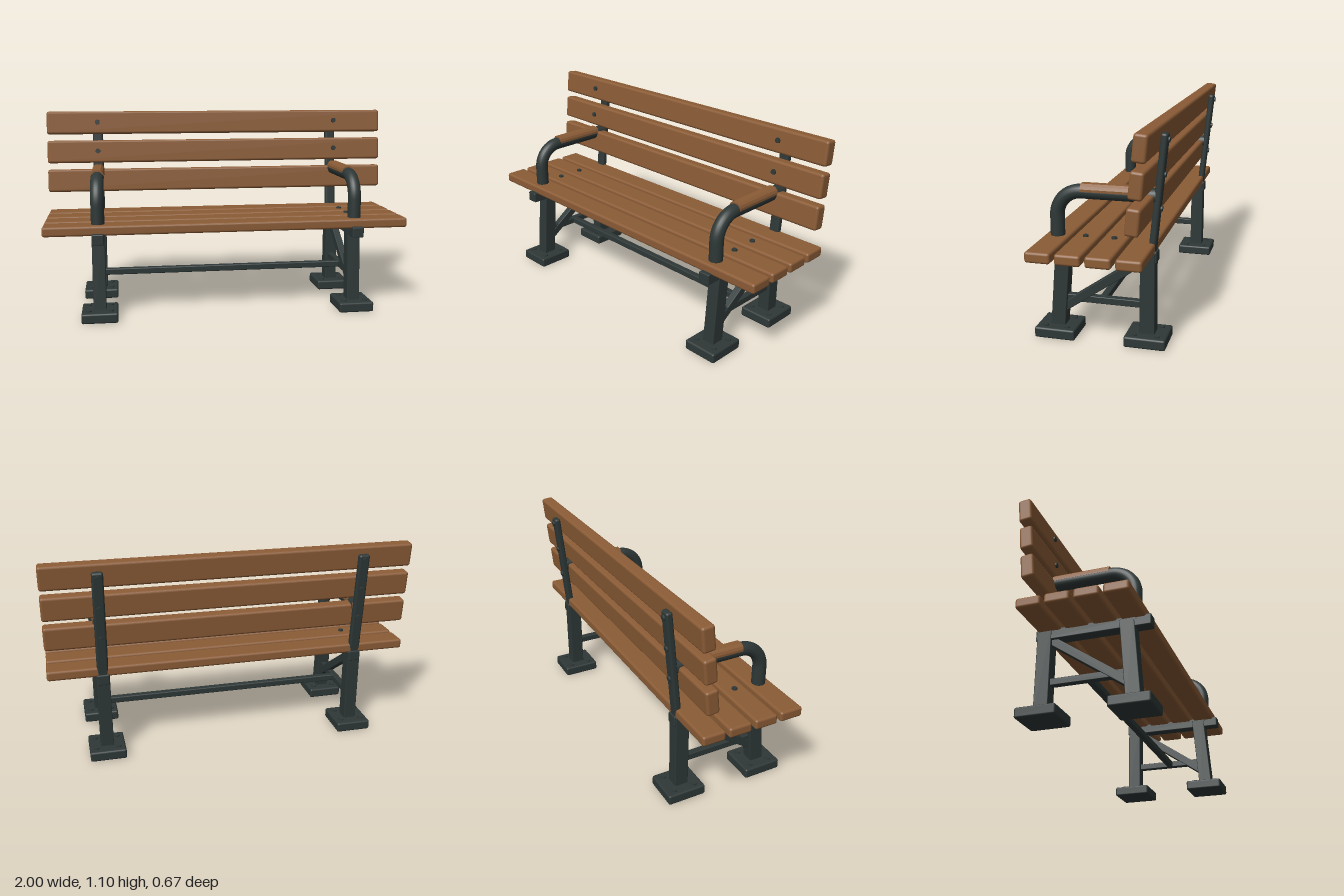
import * as THREE from 'three';
import { RoundedBoxGeometry } from 'three/addons/geometries/RoundedBoxGeometry.js';

const wood = new THREE.MeshStandardMaterial({ color: 0x8b5c36 });
wood.name = 'brown wood';
const metal = new THREE.MeshStandardMaterial({ color: 0x2e3837 });
metal.name = 'dark painted metal';

function add(parent, name, geometry, material, x = 0, y = 0, z = 0) {
  const mesh = new THREE.Mesh(geometry, material);
  mesh.name = name;
  mesh.position.set(x, y, z);
  parent.add(mesh);
  return mesh;
}

const block = (w, h, d, r = 0.006) => new RoundedBoxGeometry(w, h, d, 2, r);

// Straight bar in the side plane between two [z, y] points
function beam(parent, name, a, b, width, depth) {
  const dz = b[0] - a[0], dy = b[1] - a[1];
  const bar = add(parent, name, block(width, Math.hypot(dz, dy), depth, 0.004), metal,
    0, (a[1] + b[1]) / 2, (a[0] + b[0]) / 2);
  bar.rotation.x = Math.atan2(dz, dy);
}

function bolt(parent, name, x, y, z, facing = 0) {
  const head = add(parent, name, new THREE.CylinderGeometry(0.014, 0.015, 0.018, 12), metal, x, y, z);
  head.rotation.x = facing;
}

function sideFrame() {
  const side = new THREE.Group();
  side.name = 'sideFrame';

  // Foot plates with four bolts each
  for (const z of [0.231, -0.231]) {
    add(side, 'footPlate', block(0.195, 0.055, 0.21, 0.01), metal, 0, 0.0275, z);
    for (const bx of [-0.06, 0.06])
      for (const bz of [-0.057, 0.057]) bolt(side, 'footBolt', bx, 0.053, z + bz);
  }

  // Legs, seat rail and bracing
  beam(side, 'frontLeg', [0.232, 0.04], [0.197, 0.475], 0.07, 0.075);
  beam(side, 'rearLeg', [-0.232, 0.04], [-0.232, 0.475], 0.07, 0.075);
  add(side, 'seatRail', block(0.064, 0.058, 0.598), metal, 0, 0.453, 0.021);
  beam(side, 'lowerRail', [0.205, 0.199], [-0.21, 0.199], 0.036, 0.036);
  beam(side, 'diagonalBrace', [0.2, 0.147], [-0.2, 0.425], 0.04, 0.045);

  // Bent tube armrest
  const path = new THREE.CurvePath();
  const v = (y, z) => new THREE.Vector3(0, y, z);
  const k = 0.056;
  path.add(new THREE.LineCurve3(v(0.46, 0.231), v(0.627, 0.231)));
  path.add(new THREE.CubicBezierCurve3(v(0.627, 0.231), v(0.753 - k, 0.231), v(0.753, 0.231 - k), v(0.753, 0.105)));
  path.add(new THREE.LineCurve3(v(0.753, 0.105), v(0.753, -0.27)));
  add(side, 'armTube', new THREE.TubeGeometry(path, 60, 0.036, 20), metal);

  // Wooden cap over the tube
  const profile = new THREE.Shape([
    [-0.036, 0.758], [0.036, 0.758], [0.036, 0.77], [0.03, 0.784], [0.018, 0.795],
    [-0.018, 0.795], [-0.03, 0.784], [-0.036, 0.77],
  ].map(([x, y]) => new THREE.Vector2(x, y)));
  add(side, 'armCap', new THREE.ExtrudeGeometry(profile, { depth: 0.305, bevelEnabled: false }), wood, 0, 0, -0.203);

  // Bolts on the two middle seat slats
  for (const z of [0.0865, -0.0595]) bolt(side, 'seatBolt', 0, 0.524, z);
  return side;
}

export function createModel() {
  const bench = new THREE.Group();
  bench.name = 'bench';

  for (const x of [-0.71, 0.71]) {
    const side = sideFrame();
    side.position.x = x;
    bench.add(side);
  }

  // Bar joining both sides
  add(bench, 'crossBar', block(1.42, 0.036, 0.036), metal, 0, 0.2, 0);

  // Seat slats
  for (let i = 0; i < 4; i++)
    add(bench, 'seatSlat', block(2, 0.054, 0.126, 0.013), wood, 0, 0.497, 0.2325 - i * 0.146);

  // Leaning backrest
  const back = new THREE.Group();
  back.name = 'backrest';
  back.position.set(0, 0.867, -0.239);
  back.rotation.x = -0.1;
  bench.add(back);
  for (const y of [-0.168, 0, 0.168]) {
    add(back, 'backSlat', block(2, 0.131, 0.068, 0.014), wood, 0, y, 0);
    for (const x of [-0.71, 0.71]) {
      bolt(back, 'rearBackBolt', x, y, -0.068, Math.PI / -2);
      if (y >= 0) bolt(back, 'frontBackBolt', x, y + 0.003, 0.034, Math.PI / 2);
    }
  }
  for (const x of [-0.71, 0.71])
    add(back, 'backPost', block(0.06, 0.6, 0.035, 0.012), metal, x, -0.103, -0.051);

  return bench;
}
